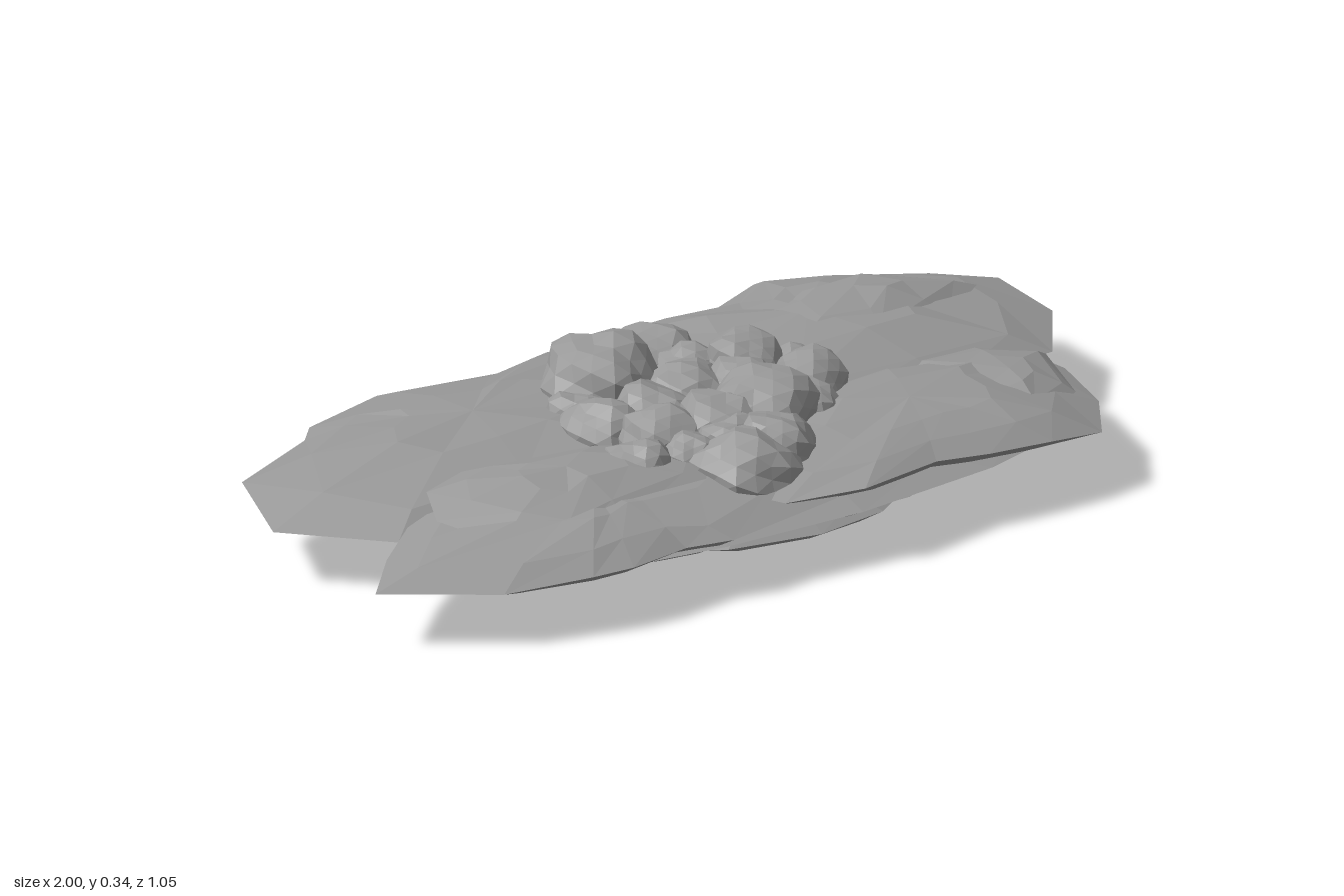
import * as THREE from 'three';

// Small seeded random source, range -1..1
function makeNoise(seed) {
  let s = seed;
  return () => {
    s = (s * 16807) % 2147483647;
    return (s / 2147483647) * 2 - 1;
  };
}

export function createModel() {
  const group = new THREE.Group();
  const stone = new THREE.MeshStandardMaterial({ color: 0x999999, flatShading: true });
  stone.name = 'grey stone';

  // Lens-shaped slab: an [x, z, rimY] outline, domed above and below its rim
  function slab(name, [cx, cz], topY, bottomY, outline, seed) {
    const noise = makeNoise(seed);
    const pts = outline
      .slice()
      .sort((a, b) => Math.atan2(a[1] - cz, a[0] - cx) - Math.atan2(b[1] - cz, b[0] - cx));
    const n = pts.length;
    const rings = [[0.4, 1], [0.76, 1], [1, 0], [0.8, -1], [0.45, -1]];
    const pos = [cx, topY, cz];
    for (const [t, side] of rings) {
      for (const [x, z, y] of pts) {
        const k = side ? t + noise() * 0.06 : 1;
        const pole = side > 0 ? topY : bottomY;
        const rise = side ? (1 - Math.pow(k, 2.4)) * (1 + noise() * 0.1) : 0;
        pos.push(cx + (x - cx) * k, y + (pole - y) * rise, cz + (z - cz) * k);
      }
    }
    pos.push(cx, bottomY, cz);
    const last = 1 + rings.length * n;
    const index = [];
    for (let i = 0; i < n; i++) {
      const j = (i + 1) % n;
      index.push(0, 1 + j, 1 + i);
      for (let r = 0; r < rings.length - 1; r++) {
        const a = 1 + r * n + i, b = 1 + r * n + j;
        index.push(a, b, b + n, a, b + n, a + n);
      }
      index.push(last, last - n + i, last - n + j);
    }
    const geo = new THREE.BufferGeometry();
    geo.setAttribute('position', new THREE.Float32BufferAttribute(pos, 3));
    geo.setIndex(index);
    geo.computeVertexNormals();
    const mesh = new THREE.Mesh(geo, stone);
    mesh.name = name;
    group.add(mesh);
  }

  // Broad upper slabs
  slab('backLeftSlab', [-0.42, -0.18], 0.234, 0.08, [
    [-1, -0.07, 0.13], [-0.96, -0.26, 0.165], [-0.73, -0.37, 0.165], [-0.68, -0.43, 0.16],
    [-0.47, -0.49, 0.16], [-0.2, -0.43, 0.17], [-0.05, -0.465, 0.17], [0.1, -0.44, 0.17], [0.25, -0.2, 0.18],
    [0.2, 0.05, 0.18], [-0.1, 0.15, 0.18], [-0.45, 0.13, 0.16], [-0.8, 0.12, 0.13],
  ], 11);
  slab('backRightSlab', [0.45, -0.2], 0.255, 0.1, [
    [-0.2, -0.25, 0.19], [-0.06, -0.46, 0.17], [0.16, -0.45, 0.18], [0.36, -0.45, 0.17],
    [0.52, -0.53, 0.165], [0.68, -0.46, 0.175], [0.85, -0.34, 0.185], [0.97, -0.25, 0.18],
    [0.995, -0.07, 0.165], [0.9, 0.08, 0.15], [0.6, 0.14, 0.17], [0.2, 0.15, 0.18], [-0.15, 0.05, 0.19],
  ], 23);
  slab('backRightRidge', [0.58, -0.22], 0.27, 0.15, [
    [0.2, -0.25, 0.21], [0.42, -0.36, 0.2], [0.7, -0.34, 0.215], [0.87, -0.18, 0.215],
    [0.75, -0.1, 0.2], [0.55, -0.02, 0.19], [0.28, -0.05, 0.2],
  ], 31);
  slab('frontLeftSlab', [-0.4, 0.28], 0.215, 0.06, [
    [-0.985, 0.32, 0.13], [-0.88, 0.2, 0.14], [-0.73, 0.07, 0.15], [-0.3, 0.03, 0.17],
    [0.15, 0.1, 0.18], [0.25, 0.36, 0.17], [0.1, 0.47, 0.15], [-0.19, 0.515, 0.14],
    [-0.3, 0.495, 0.14], [-0.45, 0.52, 0.14], [-0.55, 0.515, 0.14], [-0.75, 0.47, 0.13],
  ], 41);
  slab('frontLeftUpperSlab', [-0.42, 0.2], 0.25, 0.13, [
    [-0.74, 0.18, 0.19], [-0.69, 0.06, 0.2], [-0.58, 0.03, 0.21], [-0.25, 0.08, 0.21],
    [-0.02, 0.2, 0.2], [-0.1, 0.36, 0.19], [-0.38, 0.39, 0.18], [-0.53, 0.39, 0.17], [-0.66, 0.32, 0.17],
  ], 53);
  slab('frontRightSlab', [0.42, 0.26], 0.232, 0.09, [
    [0.9, 0.13, 0.13], [0.86, 0.33, 0.14], [0.78, 0.47, 0.14], [0.64, 0.49, 0.16],
    [0.48, 0.49, 0.17], [0.35, 0.48, 0.18], [0.14, 0.525, 0.185], [-0.03, 0.47, 0.17],
    [-0.15, 0.3, 0.18], [0.05, 0.05, 0.18], [0.5, 0.02, 0.19], [0.85, 0.05, 0.15],
  ], 67);
  slab('rightEdgeSlab', [0.7, 0.22], 0.215, 0.1, [
    [0.5, 0.15, 0.18], [0.55, 0.04, 0.2], [0.72, 0.04, 0.19], [0.87, 0.1, 0.16],
    [0.82, 0.3, 0.16], [0.68, 0.4, 0.16], [0.52, 0.3, 0.17],
  ], 71);

  // Middle layer showing between the upper and lower slabs
  slab('middleBackSlab', [0.25, -0.2], 0.2, 0.055, [
    [-0.5, -0.2, 0.13], [-0.3, -0.42, 0.14], [0, -0.45, 0.13], [0.3, -0.44, 0.14], [0.52, -0.48, 0.14],
    [0.72, -0.4, 0.13], [0.9, -0.2, 0.14], [0.92, 0, 0.135], [0.6, 0.15, 0.11], [-0.2, 0.1, 0.1],
  ], 73);
  slab('middleFrontSlab', [0.1, 0.22], 0.18, 0.055, [
    [-0.72, 0.22, 0.11], [-0.52, 0.45, 0.115], [-0.2, 0.5, 0.12], [0.14, 0.515, 0.125],
    [0.5, 0.47, 0.125], [0.76, 0.38, 0.12], [0.88, 0.17, 0.12], [0.5, 0.02, 0.1], [-0.4, 0.02, 0.1],
  ], 79);

  // Lower slabs forming the rounded underside
  slab('underBody', [0.05, -0.03], 0.2, 0.022, [
    [-0.68, 0, 0.095], [-0.55, -0.26, 0.1], [-0.25, -0.4, 0.09], [0.1, -0.44, 0.09],
    [0.42, -0.4, 0.1], [0.7, -0.22, 0.105], [0.8, 0.02, 0.095], [0.64, 0.28, 0.095],
    [0.32, 0.42, 0.08], [-0.05, 0.43, 0.08], [-0.35, 0.38, 0.09], [-0.58, 0.22, 0.09],
  ], 83);
  slab('keelLump', [0.15, -0.05], 0.12, 0, [
    [-0.25, -0.06, 0.045], [-0.1, -0.28, 0.05], [0.15, -0.36, 0.055], [0.4, -0.28, 0.055],
    [0.54, -0.05, 0.06], [0.42, 0.24, 0.05], [0.15, 0.36, 0.045], [-0.12, 0.24, 0.045],
  ], 89);
  slab('underFrontLump', [0.04, 0.3], 0.15, 0.027, [
    [-0.38, 0.3, 0.08], [-0.17, 0.46, 0.09], [0.05, 0.49, 0.085], [0.22, 0.47, 0.09],
    [0.42, 0.32, 0.08], [0.25, 0.12, 0.07], [-0.2, 0.12, 0.07],
  ], 97);
  slab('underBackLump', [0.1, -0.25], 0.16, 0.022, [
    [-0.4, -0.25, 0.08], [-0.2, -0.4, 0.1], [0.1, -0.44, 0.09], [0.35, -0.41, 0.09],
    [0.52, -0.25, 0.08], [0.3, -0.06, 0.06], [-0.2, -0.06, 0.06],
  ], 101);

  // Pile of lumpy faceted boulders: x, z, radius, top height
  const boulders = [
    [-0.1, -0.16, 0.13, 0.345], [0.07, -0.24, 0.1, 0.29], [0.1, -0.13, 0.08, 0.285],
    [-0.2, 0, 0.095, 0.275], [-0.08, 0, 0.1, 0.29], [0.04, -0.03, 0.1, 0.3], [-0.2, -0.09, 0.085, 0.26],
    [0.2, -0.07, 0.09, 0.31], [0.29, 0.04, 0.1, 0.285], [0.12, 0.14, 0.12, 0.322],
    [0.32, -0.04, 0.065, 0.26], [0.14, 0.03, 0.09, 0.3], [0, 0.15, 0.1, 0.3],
    [-0.13, 0.13, 0.095, 0.295], [-0.24, 0.21, 0.08, 0.27], [-0.12, 0.22, 0.065, 0.265],
    [-0.03, 0.31, 0.125, 0.288], [0.06, 0.28, 0.095, 0.285], [0.23, 0.13, 0.08, 0.27],
    [-0.02, 0.23, 0.08, 0.28],
  ];
  boulders.forEach(([x, z, r, top], k) => {
    const geo = new THREE.IcosahedronGeometry(1, 2);
    const p = geo.attributes.position;
    const v = new THREE.Vector3();
    for (let i = 0; i < p.count; i++) {
      v.fromBufferAttribute(p, i);
      const lump = Math.sin(4.1 * v.x + k * 2.3) * Math.cos(3.7 * v.z + k * 1.7) + 0.6 * Math.sin(5.3 * v.y + 4 * v.x + k);
      v.multiplyScalar(1 + 0.11 * lump);
      p.setXYZ(i, v.x, v.y, v.z);
    }
    geo.computeBoundingBox();
    const h = r * 0.8;
    geo.scale(r, h / geo.boundingBox.max.y, r);
    geo.computeVertexNormals();
    const mesh = new THREE.Mesh(geo, stone);
    mesh.name = 'boulder' + (k + 1);
    mesh.position.set(x, top - h, z);
    group.add(mesh);
  });
  return group;
}
